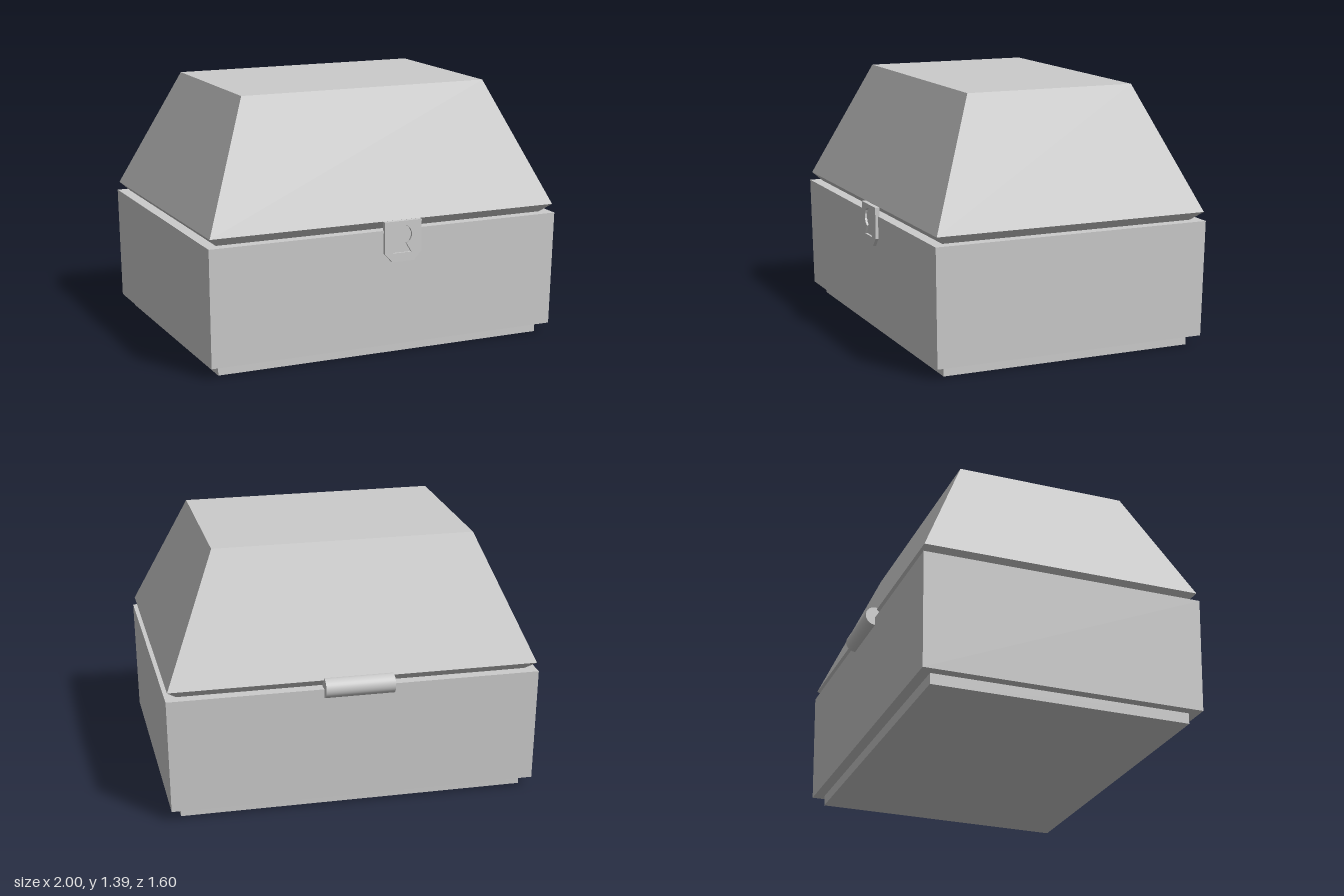
import * as THREE from 'three';

const mat = new THREE.MeshStandardMaterial({ color: 0xcccccc, flatShading: true });
const smooth = new THREE.MeshStandardMaterial({ color: 0xcccccc });

// Solid stacked from rectangular sections [y, x0, x1, z0, z1], bottom to top
function stack(name, sections) {
  const pos = [], idx = [];
  for (const [y, x0, x1, z0, z1] of sections) {
    pos.push(x0, y, z1, x1, y, z1, x1, y, z0, x0, y, z0);
  }
  const quad = (a, b, c, d) => idx.push(a, b, c, a, c, d);
  for (let s = 0; s < sections.length - 1; s++) {
    for (let i = 0; i < 4; i++) {
      const j = (i + 1) % 4, o = s * 4;
      quad(o + i, o + j, o + 4 + j, o + 4 + i);
    }
  }
  const t = (sections.length - 1) * 4;
  quad(3, 2, 1, 0);
  quad(t, t + 1, t + 2, t + 3);
  const indexed = new THREE.BufferGeometry();
  indexed.setAttribute('position', new THREE.Float32BufferAttribute(pos, 3));
  indexed.setIndex(idx);
  const geo = indexed.toNonIndexed();
  geo.computeVertexNormals();
  const mesh = new THREE.Mesh(geo, mat);
  mesh.name = name;
  return mesh;
}

// Latch plate outline with clipped lower corners
function plateShape() {
  return new THREE.Shape([
    [-0.035, 0.73], [-0.035, 0.56], [0.01, 0.513], [0.135, 0.513], [0.178, 0.56], [0.178, 0.73],
  ].map(([x, y]) => new THREE.Vector2(x, y)));
}

function keyhole() {
  const path = new THREE.Path();
  path.moveTo(0.01, 0.56);
  path.lineTo(0.12, 0.56);
  path.lineTo(0.09, 0.61);
  path.absarc(0.067, 0.655, 0.055, -1.1, Math.PI + 1.1, false);
  path.lineTo(0.042, 0.61);
  path.closePath();
  return path;
}

function plate(name, shape, z, depth) {
  const geo = new THREE.ExtrudeGeometry(shape, { depth, bevelEnabled: false, curveSegments: 6 });
  geo.translate(0, 0, z);
  const mesh = new THREE.Mesh(geo, mat);
  mesh.name = name;
  return mesh;
}

export function createModel() {
  const chest = new THREE.Group();
  chest.name = 'chest';

  // Plinth, slightly flared body and tapered lid with a bevelled underside
  chest.add(stack('plinth', [
    [0, -0.935, 0.93, -0.68, 0.72],
    [0.058, -0.935, 0.93, -0.68, 0.72],
  ]));
  chest.add(stack('body', [
    [0.058, -0.99, 0.985, -0.737, 0.775],
    [0.683, -1, 0.997, -0.747, 0.785],
  ]));
  chest.add(stack('lid', [
    [0.683, -0.94, 0.935, -0.685, 0.725],
    [0.73, -0.99, 0.987, -0.74, 0.775],
    [1.39, -0.703, 0.7, -0.45, 0.487],
  ]));

  // Latch: pierced front plate over a thin backing
  const latch = new THREE.Group();
  latch.name = 'latch';
  const front = plateShape();
  front.holes.push(keyhole());
  latch.add(plate('latchPlate', front, 0.788, 0.012));
  latch.add(plate('latchBacking', plateShape(), 0.776, 0.012));
  chest.add(latch);

  // Hinge barrel along the back seam
  const hinge = new THREE.Mesh(new THREE.CylinderGeometry(0.052, 0.052, 0.37, 32), smooth);
  hinge.name = 'hinge';
  hinge.rotation.z = Math.PI / 2;
  hinge.position.set(-0.015, 0.69, -0.748);
  chest.add(hinge);

  return chest;
}
